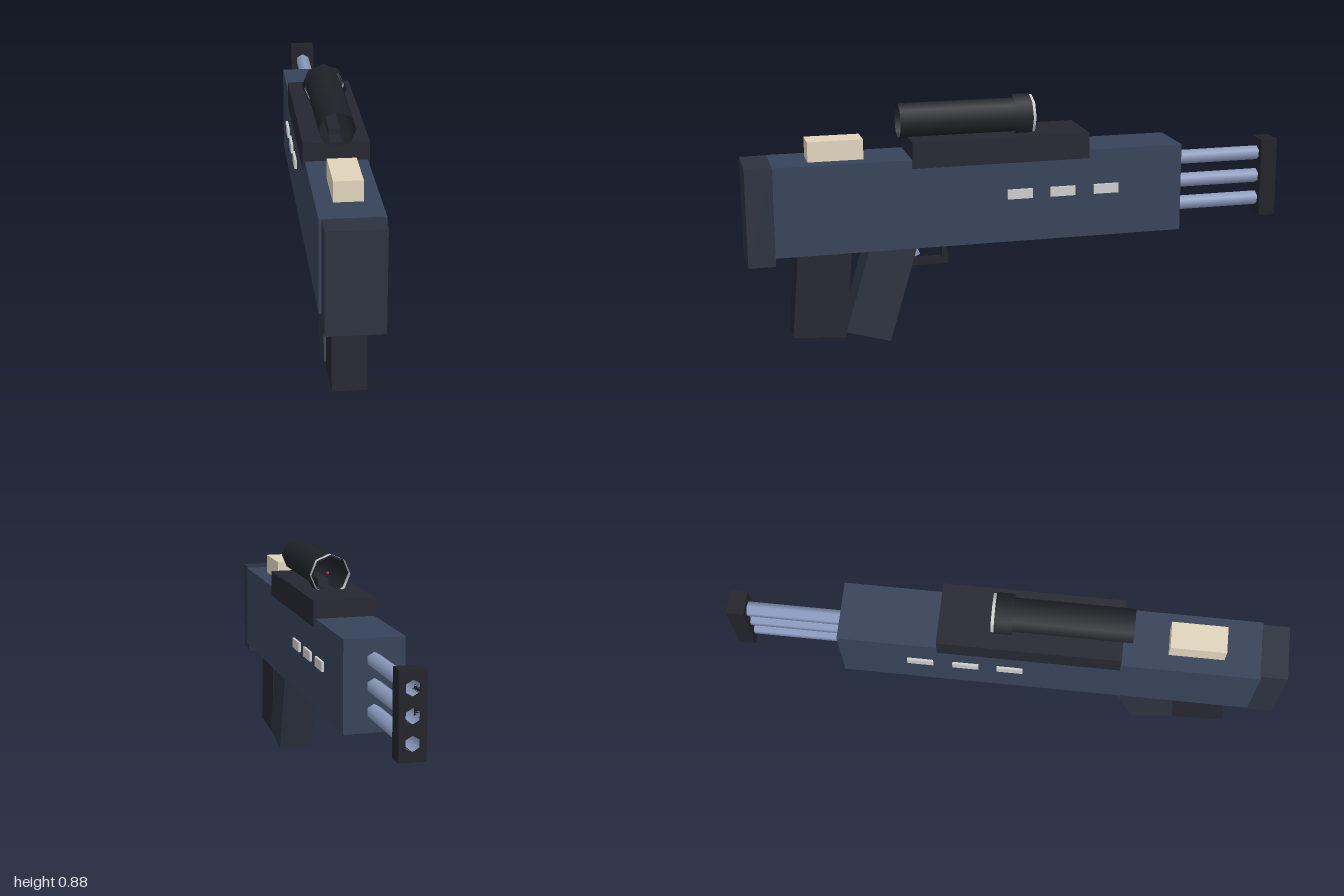
import * as THREE from 'three';

const mat = (color, side = THREE.FrontSide) => new THREE.MeshStandardMaterial({ color, side });

export function createModel() {
  const model = new THREE.Group();
  const cx = -0.001;
  const navy = mat(0x364359), slate = mat(0x2c333f), dark = mat(0x252630), black = mat(0x212329);
  const steel = mat(0x8c9cc0, THREE.DoubleSide), cream = mat(0xe0d4bb), grey = mat(0xcccccc);
  const scopeMat = mat(0x1f2228, THREE.DoubleSide);

  const add = (name, geometry, material, x, y, z) => {
    const mesh = new THREE.Mesh(geometry, material);
    mesh.name = name;
    mesh.position.set(x, y, z);
    model.add(mesh);
    return mesh;
  };
  // Box given by its half width and its y and z limits
  const block = (name, material, hw, y0, y1, z0, z1) =>
    add(name, new THREE.BoxGeometry(hw * 2, y1 - y0, z1 - z0), material, cx, (y0 + y1) / 2, (z0 + z1) / 2);
  // Box leaning around x, placed by the centre of its bottom face
  const leaning = (name, material, w, h, d, y, z, angle) => {
    const mesh = add(name, new THREE.BoxGeometry(w, h, d), material, cx,
      y + h / 2 * Math.cos(angle), z + h / 2 * Math.sin(angle));
    mesh.rotation.x = angle;
    return mesh;
  };
  // Open tube along z
  const tube = (name, material, r, sides, y, z0, z1) => {
    const g = new THREE.CylinderGeometry(r, r, z1 - z0, sides, 1, true).rotateX(Math.PI / 2);
    return add(name, g, material, cx, y, (z0 + z1) / 2);
  };

  // Receiver, butt and top parts
  block('receiver', navy, 0.107, 0.36, 0.684, -0.592, 0.905);
  block('buttPlate', slate, 0.098, 0.328, 0.685, 0.904, 1);
  block('scopeRail', dark, 0.114, 0.654, 0.749, -0.235, 0.414);
  block('rearBlock', cream, 0.049, 0.68, 0.756, 0.578, 0.775);

  // Side vents, right through the receiver
  for (const z of [0.023, -0.137, -0.301]) block('sideVent', grey, 0.116, 0.52, 0.555, z - 0.047, z + 0.047);

  // Scope
  const scopeY = 0.805;
  block('scopeMount', dark, 0.02, 0.74, 0.772, 0.06, 0.34);
  tube('scopeTube', scopeMat, 0.064, 8, scopeY, -0.037, 0.445);
  tube('scopeRing', scopeMat, 0.077, 8, scopeY, -0.037, 0.027);
  tube('lensRim', mat(0xcccccc, THREE.DoubleSide), 0.073, 8, scopeY, -0.048, -0.02);
  block('aimingDot', mat(0xc03040), 0.004, scopeY - 0.004, scopeY + 0.004, -0.004, 0.004);

  // Barrels and the muzzle block with matching holes
  const barrelY = [0.61, 0.521, 0.433], r = 0.027;
  const face = new THREE.Shape([[-0.046, 0.374], [0.046, 0.374], [0.046, 0.668], [-0.046, 0.668]]
    .map(([x, y]) => new THREE.Vector2(x, y)));
  for (const y of barrelY) {
    tube('barrel', steel, r, 6, y, -0.995, -0.58);
    const hole = [];
    for (let i = 0; i < 6; i++) {
      const a = -i * Math.PI / 3;
      hole.push(new THREE.Vector2(r * Math.sin(a), y + r * Math.cos(a)));
    }
    face.holes.push(new THREE.Path(hole));
  }
  add('muzzleBlock', new THREE.ExtrudeGeometry(face, { depth: 0.063, bevelEnabled: false }), black, cx, 0, -1);

  // Grip, magazine and trigger
  leaning('grip', slate, 0.13, 0.4, 0.167, 0.027, 0.578, -0.288);
  leaning('magazine', dark, 0.118, 0.4, 0.192, 0.037, 0.754, -0.085);
  leaning('trigger', steel, 0.02, 0.08, 0.02, 0.305, 0.383, 0.4);
  block('triggerGuardBottom', black, 0.02, 0.27, 0.291, 0.273, 0.46);
  block('triggerGuardFront', black, 0.02, 0.27, 0.37, 0.273, 0.294);

  return model;
}
